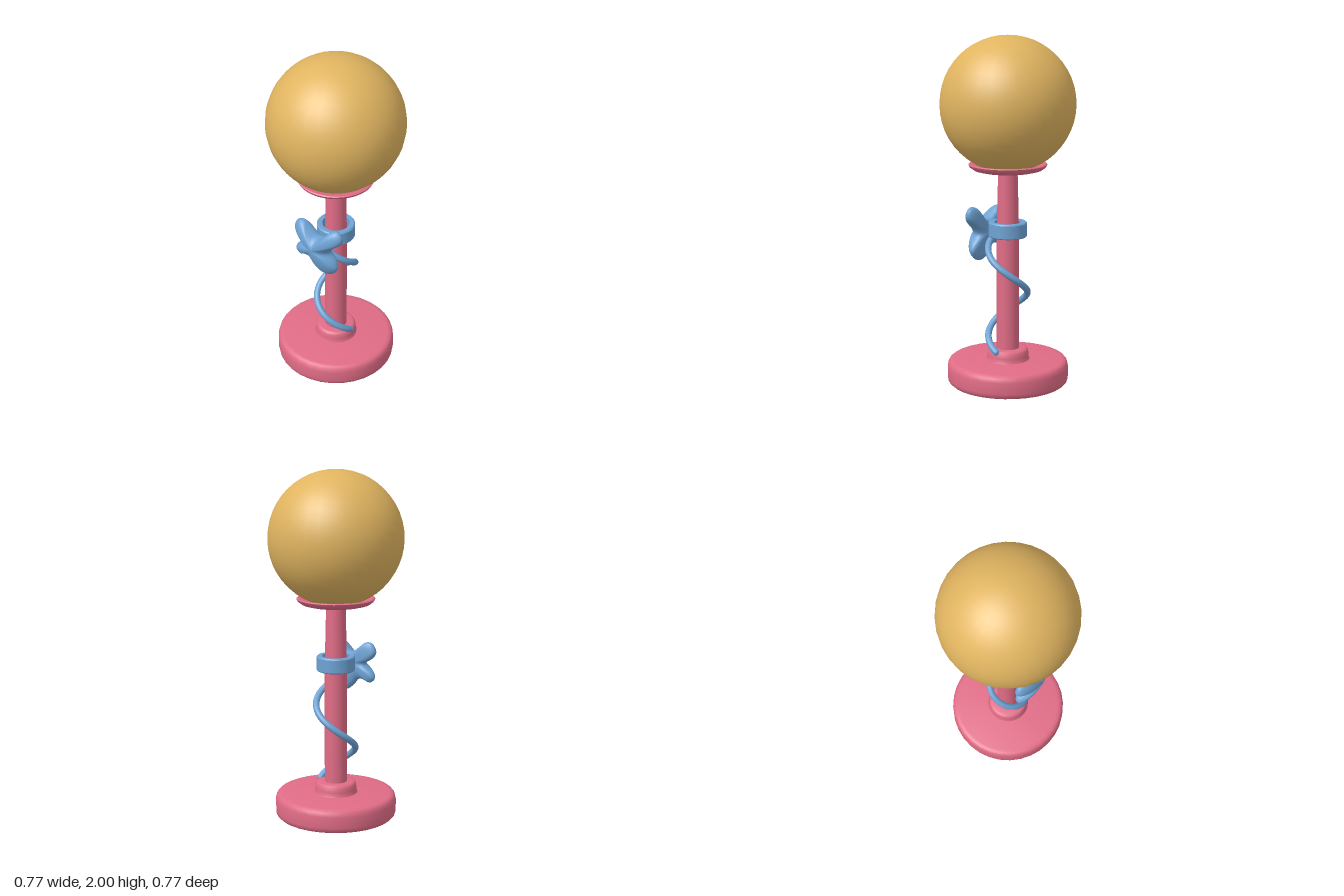
import * as THREE from 'three';
import { toCreasedNormals } from 'three/addons/utils/BufferGeometryUtils.js';

const pink = new THREE.MeshStandardMaterial({ color: 0xe06c86 });
const gold = new THREE.MeshStandardMaterial({ color: 0xe0b460 });
const blue = new THREE.MeshStandardMaterial({ color: 0x6ea3d4 });
pink.name = 'rose pink';
gold.name = 'warm gold';
blue.name = 'soft blue';

const vectors = (list) => list.map(([x, y]) => new THREE.Vector2(x, y));

// Turned part from a profile that runs from the bottom outwards and up
function turned(profile, segments = 32) {
  return toCreasedNormals(new THREE.LatheGeometry(vectors(profile), segments), 0.7);
}

// Four-lobed bow: a sphere whose rings follow a lobed outline, bulging at the middle
function bowGeometry() {
  const outline = new THREE.CatmullRomCurve3([
    [0.1, 0.015], [0.165, 0.08], [0.168, 0.12], [0.14, 0.148], [0.1, 0.142], [0.05, 0.085],
    [0, 0.062], [-0.055, 0.095], [-0.1, 0.127], [-0.14, 0.122], [-0.165, 0.075], [-0.14, 0.035],
    [-0.09, 0], [-0.145, -0.05], [-0.157, -0.08], [-0.13, -0.106], [-0.085, -0.093], [-0.045, -0.097],
    [-0.005, -0.14], [0.04, -0.17], [0.095, -0.163], [0.137, -0.115], [0.125, -0.07], [0.085, -0.02],
  ].map(([x, y]) => new THREE.Vector3(x, y, 0)), true);
  const around = 96;
  const rings = 20;
  const positions = [];
  const indices = [];
  for (let i = 0; i <= rings; i++) {
    const a = (i / rings) * Math.PI;
    const spread = Math.sin(a);
    for (let j = 0; j < around; j++) {
      const p = outline.getPoint(j / around);
      positions.push(p.x * spread, p.y * spread, 0.056 * Math.cos(a) - 0.018 * spread * spread);
    }
  }
  for (let i = 0; i < rings; i++) {
    for (let j = 0; j < around; j++) {
      const k = (j + 1) % around;
      const a = i * around + j, b = i * around + k;
      const c = a + around, d = b + around;
      if (i > 0) indices.push(a, d, b);
      if (i < rings - 1) indices.push(a, c, d);
      else indices.push(a, c, b);
    }
  }
  const geometry = new THREE.BufferGeometry();
  geometry.setAttribute('position', new THREE.Float32BufferAttribute(positions, 3));
  geometry.setIndex(indices);
  geometry.computeVertexNormals();
  // The pole rings collapse to a point, so give them plain normals
  const normals = geometry.attributes.normal;
  for (let j = 0; j < around; j++) {
    normals.setXYZ(j, 0, 0, 1);
    normals.setXYZ(rings * around + j, 0, 0, -1);
  }
  return geometry;
}

// Vine climbing one and a quarter turns around the pole
function vineGeometry() {
  const points = [];
  const steps = 30;
  for (let i = 0; i <= steps; i++) {
    const t = i / steps;
    const angle = t * Math.PI * 2.5;
    const radius = 0.113;
    points.push(new THREE.Vector3(radius * Math.cos(angle), 0.195 + 0.645 * t, radius * Math.sin(angle)));
  }
  points.push(new THREE.Vector3(-0.01, 0.865, 0.15));
  return new THREE.TubeGeometry(new THREE.CatmullRomCurve3(points), 120, 0.019, 12, false);
}

export function createModel() {
  const model = new THREE.Group();
  model.name = 'tableLamp';

  function add(name, geometry, material, x = 0, y = 0, z = 0) {
    const mesh = new THREE.Mesh(geometry, material);
    mesh.name = name;
    mesh.position.set(x, y, z);
    model.add(mesh);
    return mesh;
  }

  // Foot with a softened rim
  add('base', turned([
    [0, 0], [0.335, 0], [0.347, 0.012], [0.35, 0.03], [0.35, 0.095],
    [0.345, 0.118], [0.334, 0.13], [0.315, 0.134], [0, 0.134],
  ]), pink);
  add('collar', turned([
    [0.128, 0.13], [0.122, 0.142], [0.12, 0.16], [0.118, 0.185],
    [0.11, 0.197], [0.1, 0.2], [0.05, 0.2],
  ]), pink);

  // Slightly tapered pole
  add('pole', turned([[0.065, 0.13], [0.064, 0.85], [0.06, 1.05], [0.055, 1.245]]), pink);

  // Shallow dish that holds the globe
  add('dish', turned([
    [0.05, 1.237], [0.16, 1.237], [0.195, 1.246], [0.217, 1.262],
    [0.224, 1.276], [0.218, 1.281], [0.2, 1.279], [0.16, 1.262], [0, 1.255],
  ]), pink);
  add('globe', new THREE.SphereGeometry(0.384, 32, 24), gold, 0, 1.616, 0);

  // Open band around the pole
  add('ring', turned([
    [0.078, 0.944], [0.078, 0.862], [0.083, 0.858], [0.104, 0.858], [0.11, 0.864],
    [0.11, 0.938], [0.104, 0.945], [0.083, 0.945], [0.078, 0.944],
  ]), blue);

  add('vine', vineGeometry(), blue);
  // Closed lower end of the vine
  add('vineEnd', new THREE.SphereGeometry(0.019, 12, 8), blue, 0.113, 0.195, 0);
  add('bow', bowGeometry(), blue, 0, 0.88, 0.177);

  return model;
}
